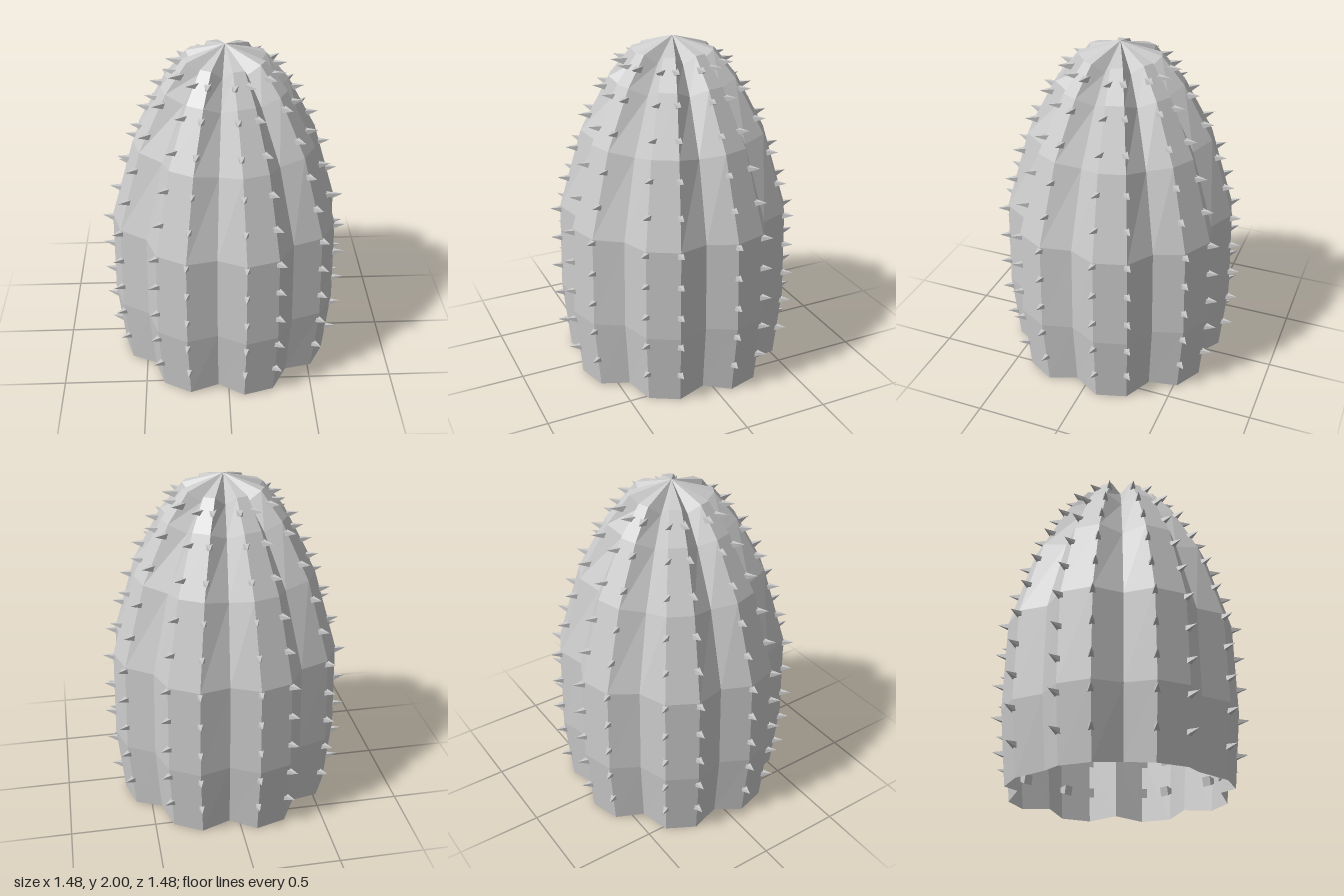
import * as THREE from 'three';

const RIBS = 8;
const START = THREE.MathUtils.degToRad(6.3); // angle of the first groove
const HALF = THREE.MathUtils.degToRad(14.4); // groove centre to its ridges

// Each ring: ridge height, ridge radius, groove height, groove radius
const RINGS = [
  [0, 0.65, 0.02, 0.57],
  [0.43, 0.69, 0.435, 0.607],
  [0.97, 0.677, 0.965, 0.595],
  [1.45, 0.535, 1.42, 0.46],
  [1.77, 0.365, 1.725, 0.3],
  [1.93, 0.235, 1.875, 0.185],
  [2, 0, 1.99, 0],
];

const SPIKE_HEIGHTS = [0.18, 0.38, 0.57, 0.76, 0.95, 1.15, 1.34, 1.54, 1.71, 1.86];

// Ridge radius at a given height
function ridgeRadius(y) {
  const i = RINGS.findIndex((ring) => ring[0] > y);
  const [y0, r0] = RINGS[i - 1];
  const [y1, r1] = RINGS[i];
  return THREE.MathUtils.mapLinear(y, y0, y1, r0, r1);
}

// Ribbed shell, open at the bottom: ridge, groove, ridge for every rib
function bodyGeometry() {
  const positions = [];
  const index = [];
  const n = RIBS * 3;
  for (const [ridgeY, ridgeR, grooveY, grooveR] of RINGS) {
    for (let k = 0; k < RIBS; k++) {
      for (const side of [-1, 0, 1]) {
        const a = START + (k * Math.PI * 2) / RIBS + side * HALF;
        const r = side ? ridgeR : grooveR;
        const y = side || r === 0 ? ridgeY : grooveY;
        positions.push(r * Math.cos(a), y, r * Math.sin(a));
      }
    }
  }
  for (let j = 0; j < RINGS.length - 1; j++) {
    for (let i = 0; i < n; i++) {
      const a = j * n + i;
      const b = j * n + ((i + 1) % n);
      index.push(a, a + n, b);
      if (j < RINGS.length - 2) index.push(b, a + n, b + n);
    }
  }
  const geometry = new THREE.BufferGeometry();
  geometry.setAttribute('position', new THREE.Float32BufferAttribute(positions, 3));
  geometry.setIndex(index);
  geometry.computeVertexNormals();
  return geometry;
}

export function createModel() {
  const model = new THREE.Group();
  model.name = 'cactus';
  const material = new THREE.MeshStandardMaterial({
    color: 0xcccccc, flatShading: true, side: THREE.DoubleSide,
  });

  const body = new THREE.Mesh(bodyGeometry(), material);
  body.name = 'ribbedBody';
  model.add(body);

  // Square spike pointing to +z with the tip slightly raised, half sunk in the body
  const spikeGeometry = new THREE.ConeGeometry(0.04, 0.125, 4);
  spikeGeometry.rotateY(Math.PI / 4);
  spikeGeometry.rotateX(THREE.MathUtils.degToRad(80));

  // Spikes on both ridges of a groove point the same way as the groove
  for (let k = 0; k < RIBS; k++) {
    const groove = START + (k * Math.PI * 2) / RIBS;
    for (const side of [-1, 1]) {
      const row = new THREE.Group();
      row.name = 'spikeRow';
      const a = groove + side * HALF;
      for (const y of SPIKE_HEIGHTS) {
        const r = ridgeRadius(y);
        const spike = new THREE.Mesh(spikeGeometry, material);
        spike.name = 'spike';
        spike.position.set(r * Math.cos(a), y, r * Math.sin(a));
        spike.rotation.y = Math.PI / 2 - groove;
        row.add(spike);
      }
      model.add(row);
    }
  }
  return model;
}
